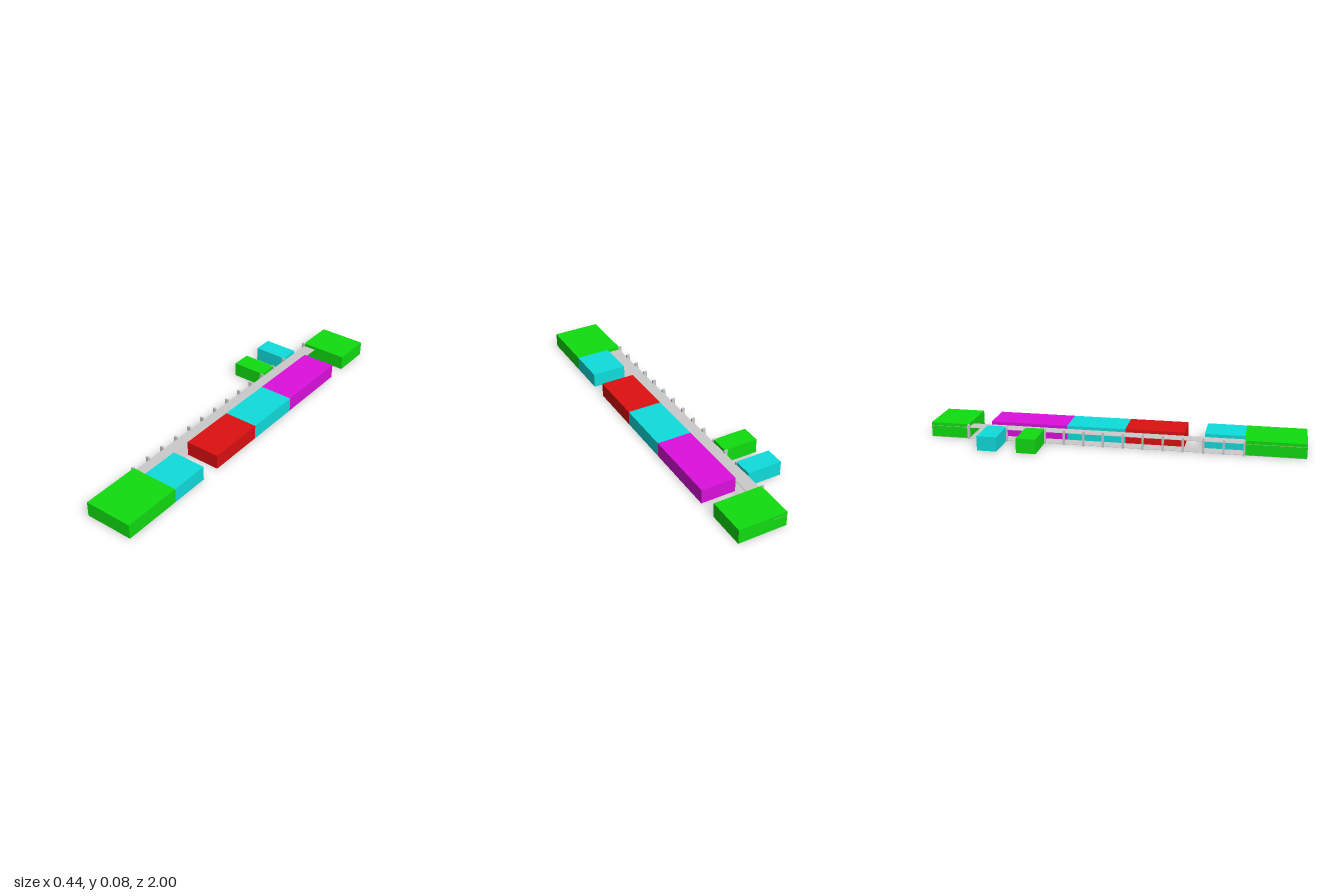
import * as THREE from 'three';

const TOP = 0.08;      // height of rooms and posts
const SHEET = 0.002;   // thickness of floor and canopy
const HALF = 0.036;    // half width of the walkway
const SIDE = 0.222;    // outer edge of the rooms

const paint = (color) => new THREE.MeshStandardMaterial({ color, flatShading: true });

// Box given by its limits on each axis
function block(name, material, [x0, x1], [y0, y1], [z0, z1]) {
  const mesh = new THREE.Mesh(new THREE.BoxGeometry(x1 - x0, y1 - y0, z1 - z0), material);
  mesh.position.set((x0 + x1) / 2, (y0 + y1) / 2, (z0 + z1) / 2);
  mesh.name = name;
  return mesh;
}

export function createModel() {
  const model = new THREE.Group();
  model.name = 'corridorBuilding';

  const grey = paint(0xcccccc);
  const green = paint(0x10dd10);
  const teal = paint(0x10dddd);
  const red = paint(0xdd1010);
  const magenta = paint(0xdd10dd);

  // Rooms: name, material, x limits, z limits
  const end = [-HALF, SIDE];
  const left = [HALF, SIDE];
  const right = [-SIDE, -HALF];
  const rooms = [
    ['frontEndRoom', green, end, [0.684, 1]],
    ['backEndRoom', green, end, [-1, -0.79]],
    ['frontLeftRoom', teal, left, [0.474, 0.684]],
    ['redRoom', red, left, [0.053, 0.369]],
    ['middleLeftRoom', teal, left, [-0.263, 0.053]],
    ['longRoom', magenta, left, [-0.684, -0.263]],
    ['greenAnnex', green, right, [-0.474, -0.369]],
    ['tealAnnex', teal, right, [-0.684, -0.579]],
  ];
  for (const [name, material, x, z] of rooms) {
    model.add(block(name, material, x, [SHEET, TOP], z));
  }

  // Open walkway: thin floor and canopy along the whole length
  model.add(block('walkwayFloor', grey, [-HALF, HALF], [0, SHEET], [-1, 1]));
  model.add(block('walkwayCanopy', grey, [-HALF, HALF], [0.061, 0.061 + SHEET], [-1, 1]));

  // Row of posts on the right edge, skipping the one at the teal annex corner
  const posts = new THREE.Group();
  posts.name = 'posts';
  for (let i = 0; i < 15; i++) {
    if (i === 1) continue;
    const z = -0.79 + i * 0.1053;
    posts.add(block('post', grey, [-0.05, -0.032], [0, TOP], [z - 0.005, z + 0.005]));
  }
  model.add(posts);

  return model;
}
